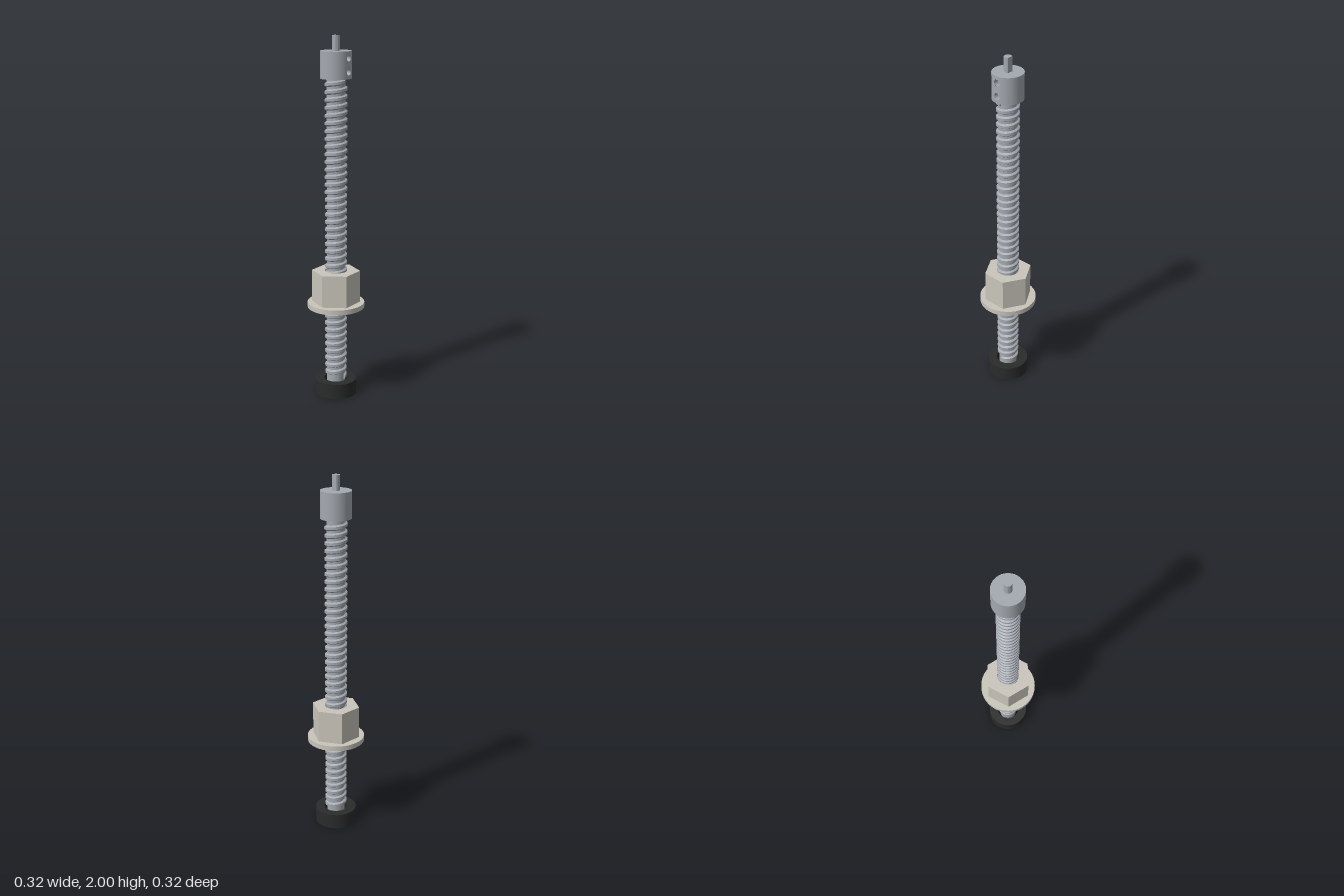
import * as THREE from 'three';
import { toCreasedNormals } from 'three/addons/utils/BufferGeometryUtils.js';

const steel = new THREE.MeshStandardMaterial({ color: 0xa4a9b0 });
const steelThin = new THREE.MeshStandardMaterial({ color: 0xa4a9b0, side: THREE.DoubleSide });
const nutMetal = new THREE.MeshStandardMaterial({ color: 0xcac6bc });
const rubber = new THREE.MeshStandardMaterial({ color: 0x2a2b2b });

function mesh(name, geometry, material, y = 0) {
  const m = new THREE.Mesh(geometry, material);
  m.name = name;
  m.position.y = y;
  return m;
}

// Extrudes a plan outline upward; shape y becomes -z.
function extrudeUp(shape, height) {
  const g = new THREE.ExtrudeGeometry(shape, { depth: height, bevelEnabled: false, curveSegments: 32 });
  g.rotateX(-Math.PI / 2);
  return toCreasedNormals(g, 0.5);
}

function withBore(shape, radius) {
  shape.holes.push(new THREE.Path().absarc(0, 0, radius, 0, Math.PI * 2, true));
  return shape;
}

const disc = (radius) => new THREE.Shape().absarc(0, 0, radius, 0, Math.PI * 2, false);

// Right-handed helical ridge with a trapezoid section.
function helixThread(root, crest, pitch, turns, perTurn = 32) {
  const section = [[root, -0.015], [crest, -0.007], [crest, 0.007], [root, 0.015]];
  const n = section.length, steps = turns * perTurn;
  const pos = [], index = [];
  for (let i = 0; i <= steps; i++) {
    const a = (i / perTurn) * Math.PI * 2;
    for (const [r, dy] of section) pos.push(r * Math.cos(a), (i / perTurn) * pitch + dy, -r * Math.sin(a));
  }
  for (let i = 0; i < steps; i++) {
    for (let j = 0; j < n; j++) {
      const k = (j + 1) % n;
      const a = i * n + j, b = i * n + k, c = a + n, d = b + n;
      index.push(a, c, b, b, c, d);
    }
  }
  const e = steps * n;
  index.push(0, 1, 2, 0, 2, 3, e, e + 2, e + 1, e, e + 3, e + 2);
  const g = new THREE.BufferGeometry();
  g.setAttribute('position', new THREE.Float32BufferAttribute(pos, 3));
  g.setIndex(index);
  return toCreasedNormals(g, 0.45);
}

// Cylindrical collar with two set screw holes facing +x.
function makeCoupler() {
  const R = 0.083, H = 0.145, half = 0.3, holeR = 0.018, holeYs = [0.037, 0.109];
  const group = new THREE.Group();
  group.name = 'coupler';

  // Wall around the rest of the collar
  group.add(mesh('couplerWall', new THREE.CylinderGeometry(R, R, H, 64, 1, true,
    Math.PI / 2 + half, Math.PI * 2 - 2 * half), steel, H / 2));

  // Drilled patch, bent around the axis
  const w = R * half;
  const outline = [];
  for (let i = 0; i <= 8; i++) outline.push(new THREE.Vector2(-w + (i / 8) * 2 * w, 0));
  for (let i = 8; i >= 0; i--) outline.push(new THREE.Vector2(-w + (i / 8) * 2 * w, H));
  const patchShape = new THREE.Shape(outline);
  for (const y of holeYs) patchShape.holes.push(new THREE.Path().absarc(0, y, holeR, 0, Math.PI * 2, true));
  const patch = new THREE.ShapeGeometry(patchShape, 12);
  const p = patch.attributes.position, nrm = patch.attributes.normal;
  for (let i = 0; i < p.count; i++) {
    const a = p.getX(i) / R;
    p.setXYZ(i, R * Math.cos(a), p.getY(i), -R * Math.sin(a));
    nrm.setXYZ(i, Math.cos(a), 0, -Math.sin(a));
  }
  group.add(mesh('drilledWall', patch, steelThin));

  // Hole walls and set screws
  for (const y of holeYs) {
    const bore = new THREE.CylinderGeometry(holeR, holeR, 0.028, 24, 1, true);
    bore.rotateZ(Math.PI / 2).translate(0.067, 0, 0);
    group.add(mesh('screwHole', bore, steelThin, y));
    const end = new THREE.CircleGeometry(holeR, 24);
    end.rotateY(Math.PI / 2).translate(0.055, 0, 0);
    group.add(mesh('setScrew', end, steel, y));
  }

  // End faces
  const top = new THREE.CircleGeometry(R, 64).rotateX(-Math.PI / 2);
  const bottom = new THREE.CircleGeometry(R, 64).rotateX(Math.PI / 2);
  group.add(mesh('couplerTop', top, steel, H), mesh('couplerBottom', bottom, steel));
  group.position.y = 1.775;
  return group;
}

export function createModel() {
  const model = new THREE.Group();
  model.name = 'leadScrewAssembly';

  // Threaded shaft
  model.add(mesh('shaft', new THREE.CylinderGeometry(0.05, 0.05, 1.77, 48), steel, 0.905));
  model.add(mesh('thread', helixThread(0.0485, 0.061, 0.0415, 40), steel, 0.1));

  // Foot ring
  model.add(mesh('foot', extrudeUp(withBore(disc(0.115), 0.066), 0.085), rubber));

  // Flanged hexagonal nut, corners on the z axis
  const hex = new THREE.Shape(Array.from({ length: 6 }, (_, i) => {
    const a = Math.PI / 2 + (i * Math.PI) / 3;
    return new THREE.Vector2(0.133 * Math.cos(a), 0.133 * Math.sin(a));
  }));
  const nut = new THREE.Group();
  nut.name = 'nut';
  nut.add(mesh('flange', extrudeUp(withBore(disc(0.158), 0.062), 0.028), nutMetal, 0.512));
  nut.add(mesh('hexBody', extrudeUp(withBore(hex, 0.062), 0.18), nutMetal, 0.54));
  model.add(nut);

  model.add(makeCoupler());

  // Drive pin with a flat on the back
  const flat = Math.asin(0.015 / 0.021);
  const pin = new THREE.Shape().absarc(0, 0, 0.021, Math.PI - flat, Math.PI * 2 + flat, false);
  model.add(mesh('drivePin', extrudeUp(pin, 0.08), steel, 1.92));

  return model;
}
